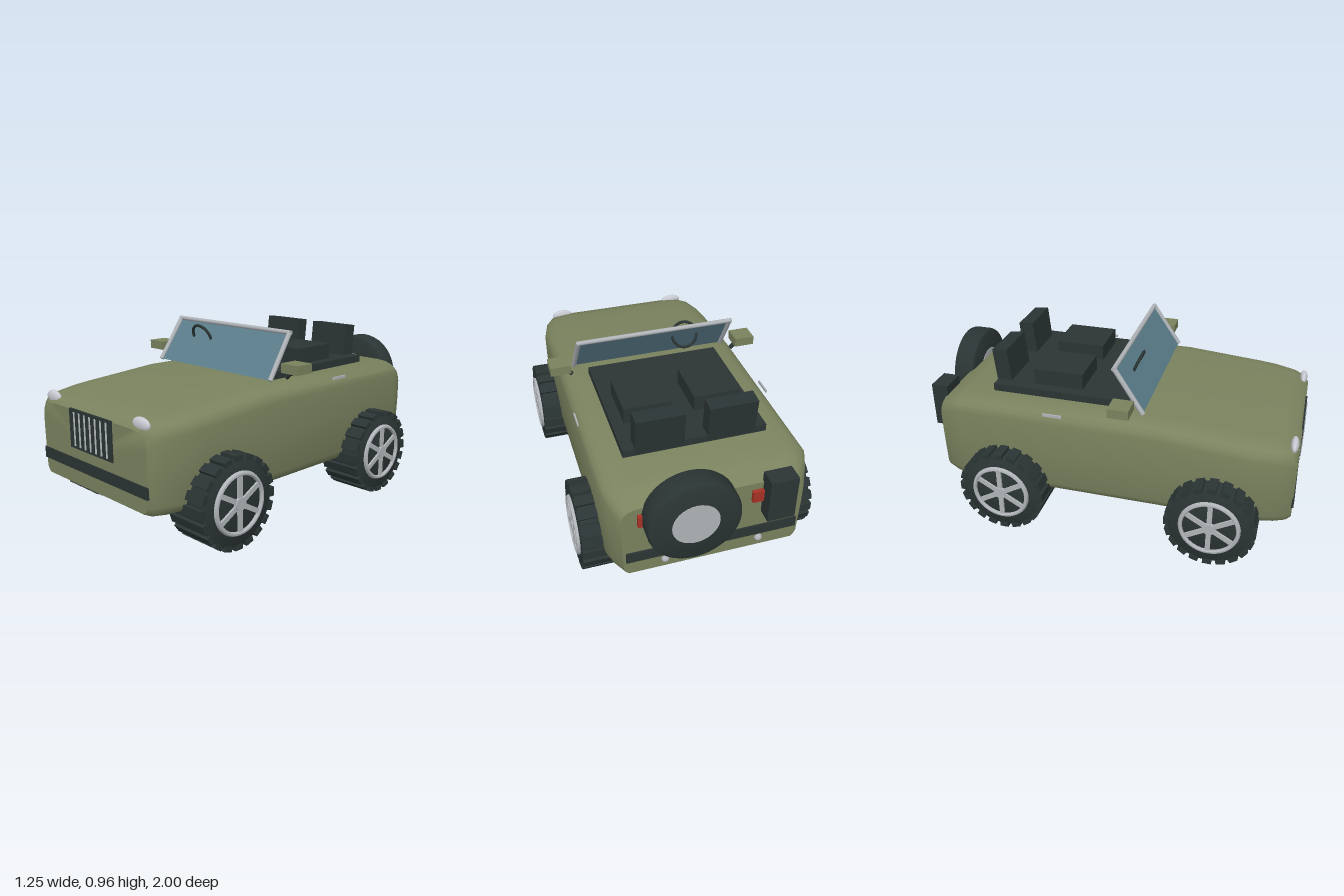
import * as THREE from 'three';
import { toCreasedNormals } from 'three/addons/utils/BufferGeometryUtils.js';

const paint = (name, color) => {
  const m = new THREE.MeshStandardMaterial({ color });
  m.name = name;
  return m;
};

export function createModel() {
  const green = paint('olive green', 0x7a825e);
  const dark = paint('charcoal', 0x2b3434);
  const metal = paint('light metal', 0xb0b4b8);
  const lamp = paint('lamp white', 0xc8cad2);
  const red = paint('tail red', 0xa83226);
  const glass = paint('blue glass', 0x5c7f8c);
  glass.side = THREE.DoubleSide;

  const model = new THREE.Group();
  model.name = 'offRoadCar';

  const add = (parent, name, geo, mat, x = 0, y = 0, z = 0) => {
    const mesh = new THREE.Mesh(geo, mat);
    mesh.name = name;
    mesh.position.set(x, y, z);
    parent.add(mesh);
    return mesh;
  };
  const box = (name, mat, [w, h, d], [x, y, z], parent = model) =>
    add(parent, name, new THREE.BoxGeometry(w, h, d), mat, x, y, z);

  // Round bar between two points
  const bar = (name, mat, a, b, r) => {
    const p = new THREE.Vector3(...a), q = new THREE.Vector3(...b);
    const dir = q.clone().sub(p);
    const mesh = add(model, name, new THREE.CylinderGeometry(r, r, dir.length(), 12), mat);
    mesh.position.copy(p).add(q).multiplyScalar(0.5);
    mesh.quaternion.setFromUnitVectors(new THREE.Vector3(0, 1, 0), dir.normalize());
    return mesh;
  };
  const turned = (pts, seg) => toCreasedNormals(
    new THREE.LatheGeometry(pts.map(p => new THREE.Vector2(...p)), seg), 0.6);

  // Body shell lofted front to back: z, half width, top, bottom
  const stations = [
    [0.985, 0.432, 0.605, 0.225], [0.96, 0.457, 0.632, 0.217], [0.9, 0.483, 0.647, 0.215],
    [0.79, 0.508, 0.658, 0.215], [0.7, 0.512, 0.666, 0.215], [0.28, 0.512, 0.7, 0.215],
    [-0.76, 0.512, 0.7, 0.215], [-0.82, 0.49, 0.675, 0.215], [-0.892, 0.452, 0.635, 0.22],
  ];
  const section = (w, top, low) => {
    const half = [[0.75, top], [0.87, top - 0.006], [0.94, top - 0.02], [0.985, top - 0.043],
      [1, top - 0.075], [1, 0.45], [0.985, 0.26], [0.965, low + 0.015], [0.93, low]];
    const side = half.map(([x, y]) => [x * w, y]);
    return [...side, ...side.map(([x, y]) => [-x, y]).reverse()];
  };
  const pos = [], idx = [], n = 18;
  for (const [z, w, top, low] of stations)
    for (const [x, y] of section(w, top, low)) pos.push(x, y, z);
  const last = (stations.length - 1) * n, front = last + n, back = front + 1;
  pos.push(0, 0.42, 0.985, 0, 0.42, -0.892);
  for (let i = 0; i < n; i++) {
    const j = (i + 1) % n;
    for (let s = 0; s < last; s += n) idx.push(s + i, s + j, s + n + j, s + i, s + n + j, s + n + i);
    idx.push(front, j, i, back, last + i, last + j);
  }
  const shell = new THREE.BufferGeometry();
  shell.setAttribute('position', new THREE.Float32BufferAttribute(pos, 3));
  shell.setIndex(idx);
  add(model, 'body', toCreasedNormals(shell, 0.65), green);
  box('chassis', dark, [0.69, 0.06, 1.54], [0, 0.218, 0.04]);

  // Front end
  box('grille', dark, [0.356, 0.198, 0.012], [0, 0.511, 0.984]);
  for (let i = -3; i <= 3; i++)
    bar('grilleBar', metal, [i * 0.045, 0.425, 0.989], [i * 0.045, 0.596, 0.989], 0.006);
  box('frontBumper', dark, [0.866, 0.058, 0.016], [0, 0.33, 0.983]);

  // Cabin floor and steering wheel
  box('cabinFloor', dark, [0.73, 0.04, 0.75], [0, 0.719, -0.235]);
  const steering = add(model, 'steeringWheel', new THREE.TorusGeometry(0.07, 0.008, 8, 32), dark, -0.18, 0.865, 0.122);
  steering.rotation.x = 0.42;

  // Windscreen leaning back
  const pane = new THREE.BufferGeometry().setFromPoints([
    [-0.43, 0.72, 0.215], [0.43, 0.72, 0.215], [0.42, 0.945, 0.065], [-0.42, 0.945, 0.065],
  ].map(p => new THREE.Vector3(...p)));
  pane.setIndex([0, 1, 2, 0, 2, 3]);
  pane.computeVertexNormals();
  add(model, 'windscreen', pane, glass);
  bar('windscreenTopRail', metal, [-0.432, 0.944, 0.066], [0.432, 0.944, 0.066], 0.012);

  // Rear end
  box('rearBumper', dark, [0.866, 0.058, 0.016], [0, 0.33, -0.893]);
  box('fuelCan', dark, [0.14, 0.24, 0.09], [-0.31, 0.57, -0.925]);
  const spare = new THREE.Group();
  spare.name = 'spareWheel';
  spare.position.set(0.128, 0.57, -0.935);
  spare.rotation.x = -Math.PI / 2;
  model.add(spare);
  add(spare, 'spareTyre', turned([[0, -0.064], [0.205, -0.064], [0.222, -0.056], [0.228, -0.04],
    [0.228, 0.04], [0.222, 0.056], [0.205, 0.064], [0, 0.064]], 40), dark);
  add(spare, 'spareHub', new THREE.CylinderGeometry(0.115, 0.115, 0.132, 32), metal);

  // Road wheel, outer face towards +x
  const makeWheel = () => {
    const wheel = new THREE.Group();
    wheel.name = 'wheel';
    add(wheel, 'tyre', turned([[0, -0.114], [0.2, -0.114], [0.216, -0.104], [0.216, 0.104],
      [0.2, 0.114], [0, 0.114]], 40).rotateZ(-Math.PI / 2), dark);
    for (let i = 0; i < 20; i++) {
      const a = i * Math.PI / 10;
      const block = box('treadBlock', dark, [0.23, 0.026, 0.046],
        [0, Math.cos(a) * 0.218, Math.sin(a) * 0.218], wheel);
      block.rotation.x = a;
    }
    add(wheel, 'rim', turned([[0.135, 0.1], [0.155, 0.1], [0.157, 0.116], [0.151, 0.128],
      [0.141, 0.13], [0.135, 0.124], [0.135, 0.1]], 40).rotateZ(-Math.PI / 2), metal);
    for (let i = 0; i < 3; i++)
      box('spokePair', metal, [0.022, 0.28, 0.025], [0.114, 0, 0], wheel).rotation.x = i * Math.PI / 3;
    add(wheel, 'hub', new THREE.CylinderGeometry(0.032, 0.034, 0.03, 20).rotateZ(-Math.PI / 2), metal, 0.115);
    return wheel;
  };

  // Mirrored parts
  for (const s of [1, -1]) {
    for (const z of [0.603, -0.507]) {
      const wheel = makeWheel();
      wheel.position.set(s * 0.496, 0.231, z);
      if (s < 0) wheel.rotation.y = Math.PI;
      model.add(wheel);
    }
    const light = add(model, 'headlight', new THREE.SphereGeometry(1, 24, 16), lamp, s * 0.365, 0.628, 0.957);
    light.scale.set(0.061, 0.034, 0.02);
    bar('windscreenPillar', metal, [s * 0.432, 0.72, 0.216], [s * 0.422, 0.944, 0.066], 0.013);
    box('mirror', green, [0.11, 0.048, 0.105], [s * 0.525, 0.785, 0.127]);
    bar('mirrorStalk', dark, [s * 0.46, 0.728, 0.125], [s * 0.51, 0.775, 0.125], 0.012);
    box('doorHandle', metal, [0.008, 0.014, 0.1], [s * 0.513, 0.684, -0.233]);
    box('seatCushion', dark, [0.245, 0.1, 0.265], [s * 0.182, 0.773, -0.27]);
    box('seatBack', dark, [0.245, 0.2, 0.08], [s * 0.182, 0.81, -0.58]).rotation.x = -0.1;
    box('tailLight', red, [0.19, 0.065, 0.03], [s * 0.28, 0.565, -0.897]);
    add(model, 'rearLamp', new THREE.SphereGeometry(0.02, 16, 12), metal, s * 0.24, 0.27, -0.892);
  }
  return model;
}
